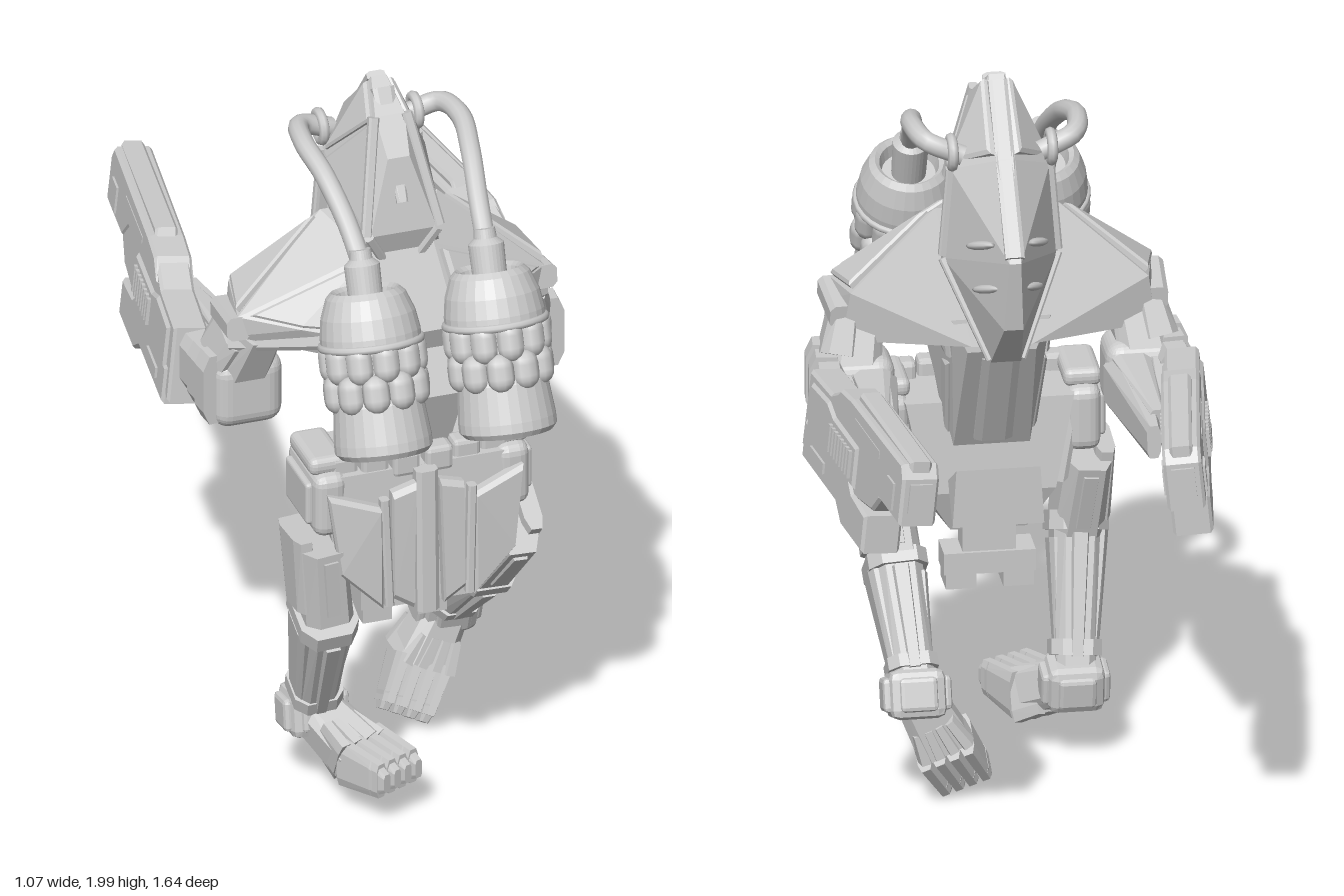
import * as THREE from 'three';
import { ConvexGeometry } from 'three/addons/geometries/ConvexGeometry.js';
import { RoundedBoxGeometry } from 'three/addons/geometries/RoundedBoxGeometry.js';

const flat = new THREE.MeshStandardMaterial({ color: 0xcccccc, flatShading: true });
const smooth = new THREE.MeshStandardMaterial({ color: 0xcccccc });
const vec = (p) => new THREE.Vector3(...p);
const flip = (s, pts) => pts.map(([x, y, z]) => [s * x, y, z]);

function add(parent, name, geo, mat = flat, pos = [0, 0, 0]) {
  const m = new THREE.Mesh(geo, mat);
  m.name = name;
  m.position.set(...pos);
  parent.add(m);
  return m;
}
function group(parent, name) {
  const g = new THREE.Group();
  g.name = name;
  parent.add(g);
  return g;
}
// Faceted solid around points mirrored across x
function hull(parent, name, pts) {
  return add(parent, name, new ConvexGeometry([...pts, ...flip(-1, pts)].map(vec)));
}
// Raised armour panel with sloped edges
function plate(parent, name, corners, t = 0.014) {
  const p = corners.map(vec);
  const c = p.reduce((a, b) => a.add(b), new THREE.Vector3()).divideScalar(p.length);
  const n = p[1].clone().sub(p[0]).cross(p[2].clone().sub(p[0])).normalize();
  const out = [];
  for (const q of corners.map(vec)) {
    const outer = c.clone().lerp(q, 0.96), inner = c.clone().lerp(q, 0.87);
    for (const k of [-1, 1]) {
      out.push(outer.clone().addScaledVector(n, k * t * 0.5), inner.clone().addScaledVector(n, k * t));
    }
  }
  return add(parent, name, new ConvexGeometry(out));
}
// Chamfered bar from a to b, each end given as [half width, half depth]
function limb(parent, name, a, b, ra, rb = ra) {
  const A = vec(a), B = vec(b), dir = B.clone().sub(A).normalize();
  const lat = new THREE.Vector3(1, 0, 0).addScaledVector(dir, -dir.x);
  if (lat.length() < 0.1) lat.set(0, 0, 1);
  lat.normalize();
  const nor = dir.clone().cross(lat);
  const pts = [];
  for (const [o, [w, d]] of [[A, ra], [B, rb]])
    for (const i of [-1, 1]) for (const j of [-1, 1]) for (const [u, v] of [[1, 0.6], [0.6, 1]])
      pts.push(o.clone().addScaledVector(lat, i * u * w).addScaledVector(nor, j * v * d));
  return add(parent, name, new ConvexGeometry(pts));
}
const mix = (a, b, t) => a.map((v, i) => v + (b[i] - v) * t);

function torso(root) {
  const g = group(root, 'torso');
  hull(g, 'hood', [[0.02, 2, 0.17], [0.04, 1.93, 0.26], [0.03, 1.84, 0.33], [0.09, 1.64, 0.37], [0.04, 1.54, 0.34], [0.13, 1.77, 0.1],
    [0.02, 1.83, 0], [0.015, 1.61, -0.17], [0.15, 1.52, 0.1], [0.025, 1.41, -0.14], [0.04, 1.26, 0], [0.15, 1.45, 0.25]]);
  hull(g, 'shoulderYoke', [[0.16, 1.63, 0.17], [0.09, 1.58, 0.35], [0.39, 1.43, 0.11], [0.42, 1.41, 0.27], [0.28, 1.4, 0.37],
    [0.43, 1.35, 0.26], [0.41, 1.29, 0.13], [0.12, 1.38, 0.45], [0.08, 1.28, 0.06], [0.12, 1.3, 0.42]]);
  hull(g, 'waist', [[0.2, 1.37, 0.4], [0.13, 1.35, 0.08], [0.13, 1.2, 0.48], [0.11, 1.03, 0.42], [0.1, 0.92, 0.25], [0.09, 1.26, 0.07]]);
  limb(g, 'hoodRidge', [0, 1.99, 0.15], [0, 1.62, -0.16], [0.025, 0.012]);
  limb(g, 'hoodBrow', [0, 1.98, 0.2], [0, 1.72, 0.355], [0.03, 0.015], [0.015, 0.015]);
  limb(g, 'spineStrip', [0, 1.24, 0.09], [0, 0.95, 0.235], [0.05, 0.018]);
  for (const s of [1, -1]) {
    const P = (name, pts) => plate(g, name, flip(s, pts));
    const bar = (name, a, b, r) => limb(g, name, ...flip(s, [a, b]), [r, r]);
    P('hoodCrownPanel', [[0.025, 1.99, 0.17], [0.045, 1.92, 0.26], [0.125, 1.77, 0.12], [0.03, 1.84, 0.01]]);
    P('hoodCheekPanel', [[0.045, 1.92, 0.26], [0.095, 1.65, 0.36], [0.13, 1.75, 0.12]]);
    bar('hoodFaceTrim', [0.045, 1.93, 0.26], [0.1, 1.64, 0.36], 0.014);
    bar('hoodChinTrim', [0.095, 1.64, 0.37], [0.04, 1.54, 0.34], 0.012);
    bar('hoodSideTrim', [0.13, 1.77, 0.1], [0.15, 1.53, 0.1], 0.012);
    bar('hoodJawTrim', [0.15, 1.52, 0.1], [0.04, 1.27, 0], 0.012);
    P('shoulderTopPanel', [[0.17, 1.62, 0.18], [0.39, 1.44, 0.12], [0.42, 1.42, 0.26]]);
    P('shoulderFrontPanel', [[0.1, 1.57, 0.36], [0.4, 1.42, 0.29], [0.28, 1.405, 0.37], [0.13, 1.4, 0.44]]);
    bar('shoulderRim', [0.41, 1.36, 0.12], [0.42, 1.38, 0.28], 0.032);
    bar('collarTrim', [0.12, 1.39, 0.44], [0.42, 1.32, 0.22], 0.03);
    P('abdomenPanel', [[0.13, 1.35, 0.12], [0.17, 1.34, 0.4], [0.13, 1.19, 0.46], [0.12, 1.22, 0.13]]);
    P('waistPanel', [[0.12, 1.2, 0.15], [0.13, 1.18, 0.46], [0.11, 1.04, 0.41], [0.105, 0.95, 0.26]]);
    for (let i = 0; i < 2; i++) {
      const gill = add(g, 'gill', new THREE.SphereGeometry(1, 10, 6), smooth, [s * (0.075 - i * 0.015), 1.62 - i * 0.12, -0.06 - i * 0.01]);
      gill.scale.set(0.02, 0.012, 0.06);
      gill.rotation.set(0.4, s * 0.5, 0);
    }
  }
}

function pelvis(root) {
  const g = group(root, 'pelvis');
  hull(g, 'hips', [[0.25, 1.03, 0.52], [0.22, 1.03, 0.28], [0.13, 0.64, 0.55], [0.1, 0.66, 0.3], [0.21, 0.8, 0.54], [0.17, 0.78, 0.26]]);
  limb(g, 'centreSkirt', [0, 1.03, 0.54], [0, 0.62, 0.55], [0.03, 0.025]);
  add(g, 'crotchBracket', new THREE.BoxGeometry(0.24, 0.06, 0.1), flat, [0, 0.57, 0.33]);
  add(g, 'crotchMount', new THREE.BoxGeometry(0.14, 0.12, 0.08), flat, [0, 0.63, 0.33]);
  hull(g, 'tailPlate', [[0.11, 0.9, 0.13], [0.12, 0.74, 0.13], [0.09, 0.71, 0.2], [0.12, 0.84, 0.21], [0.08, 0.71, 0.28], [0.08, 0.82, 0.3]]);
  for (const s of [1, -1]) {
    const P = (name, pts) => plate(g, name, flip(s, pts), 0.022);
    add(g, 'crotchFoot', new THREE.BoxGeometry(0.08, 0.06, 0.1), flat, [s * 0.075, 0.53, 0.33]);
    P('innerSkirtPanel', [[0.03, 1.01, 0.55], [0.1, 0.99, 0.55], [0.1, 0.67, 0.56], [0.04, 0.63, 0.56]]);
    P('outerSkirtPanel', [[0.12, 0.95, 0.555], [0.27, 1, 0.53], [0.24, 0.76, 0.55], [0.12, 0.64, 0.56]]);
    P('hipSidePanel', [[0.25, 1, 0.5], [0.22, 1, 0.3], [0.18, 0.78, 0.28], [0.21, 0.78, 0.52]]);
    limb(g, 'skirtTrim', ...flip(s, [[0.12, 0.97, 0.56], [0.11, 0.66, 0.57]]), [0.012, 0.015]);
    for (let i = 0; i < 3; i++) add(g, 'beltBlock', new RoundedBoxGeometry(0.075, 0.07, 0.06, 1, 0.012), flat, [s * (0.045 + i * 0.08), 1.04, 0.5 - i * 0.015]);
    add(g, 'hipPouch', new RoundedBoxGeometry(0.09, 0.18, 0.24, 2, 0.03), flat, [s * 0.25, 0.95, 0.41]);
    add(g, 'pouchCover', new RoundedBoxGeometry(0.03, 0.12, 0.17, 2, 0.01), flat, [s * 0.295, 0.95, 0.41]);
    add(g, 'pouchFlap', new RoundedBoxGeometry(0.1, 0.05, 0.18, 2, 0.02), flat, [s * 0.25, 1.055, 0.41]);
  }
}

function tank(root, s) {
  const g = group(root, 'backTank');
  g.position.set(s * 0.17, 1.4, 0.63);
  g.rotation.x = -0.37;
  const profile = [[0, -0.205], [0.1, -0.21], [0.115, -0.22], [0.128, -0.205], [0.128, -0.18], [0.118, -0.08], [0.11, -0.06],
    [0.11, 0.06], [0.132, 0.075], [0.132, 0.1], [0.124, 0.15], [0.105, 0.2], [0.09, 0.215], [0.078, 0.205], [0.07, 0.17], [0.045, 0.17],
    [0.047, 0.28], [0.03, 0.295], [0.028, 0.32], [0, 0.32]];
  add(g, 'tankShell', new THREE.LatheGeometry(profile.map((p) => new THREE.Vector2(...p)), 28), flat);
  for (let i = 0; i < 10; i++) {
    const a = (i / 10) * Math.PI * 2;
    for (const [y, len, off] of [[0.035, 0.035, 0], [-0.045, 0.03, 0.31]]) {
      const pad = add(g, 'tankPad', new THREE.CapsuleGeometry(0.036, len, 4, 10), smooth, [0.112 * Math.sin(a + off), y, 0.112 * Math.cos(a + off)]);
      pad.rotation.y = a + off;
      pad.scale.z = 0.85;
    }
  }
  add(g, 'tankBand', new THREE.TorusGeometry(0.13, 0.011, 8, 28), smooth, [0, 0.075, 0]).rotation.x = Math.PI / 2;
  // Hose from the tank neck to a socket on the hood
  const path = flip(s, [[0.17, 1.66, 0.53], [0.18, 1.74, 0.44], [0.2, 1.82, 0.32], [0.215, 1.855, 0.2], [0.19, 1.85, 0.1], [0.1, 1.815, 0.08]]);
  add(root, 'hose', new THREE.TubeGeometry(new THREE.CatmullRomCurve3(path.map(vec)), 32, 0.027, 12), smooth);
  add(root, 'hoseSocket', new THREE.TorusGeometry(0.037, 0.014, 8, 20), smooth, [s * 0.13, 1.825, 0.083]).rotation.y = Math.PI / 2;
}

// Extrudes a side outline given as [forward, height] and centres it on x
function profilePart(parent, name, pts, width) {
  const shape = new THREE.Shape(pts.map(([u, v]) => new THREE.Vector2(u, v - 1.15)));
  const geo = new THREE.ExtrudeGeometry(shape, { depth: width - 0.016, bevelSize: 0.008, bevelThickness: 0.008, bevelSegments: 1 });
  geo.translate(0, 0, -(width - 0.016) / 2);
  return add(parent, name, geo.rotateY(Math.PI / 2));
}

function gun(root, s) {
  const g = group(root, 'gun');
  g.position.set(s * 0.47, 1.15, 0);
  g.rotation.set(0, s * 0.14, s * 0.1);
  profilePart(g, 'gunBody', [[-0.03, 1.05], [-0.02, 1.25], [0.16, 1.26], [0.24, 1.3], [0.34, 1.31], [0.62, 1.3], [0.62, 1.17], [0.57, 1.12], [0.45, 1.1], [0.1, 1.08]], 0.09);
  profilePart(g, 'barrel', [[0.2, 1.27], [0.25, 1.31], [0.34, 1.32], [0.79, 1.33], [0.81, 1.3], [0.81, 1.18], [0.62, 1.18], [0.56, 1.24]], 0.1);
  profilePart(g, 'topRail', [[0.33, 1.31], [0.35, 1.34], [0.8, 1.34], [0.8, 1.31]], 0.06);
  profilePart(g, 'lowerBarrel', [[0, 1.03], [0, 1.12], [0.38, 1.12], [0.42, 1.09], [0.54, 1.08], [0.54, 0.99], [0.36, 0.99], [0.3, 1.03]], 0.105);
  profilePart(g, 'sidePanel', [[0.02, 1.12], [0.02, 1.23], [0.16, 1.24], [0.22, 1.22], [0.42, 1.22], [0.42, 1.12]], 0.108);
  for (const k of [1, -1]) {
    for (let i = 0; i < 8; i++) add(g, 'ventSlat', new THREE.BoxGeometry(0.012, 0.075, 0.012), flat, [k * 0.057, 0.02, -0.22 - i * 0.025]);
    add(g, 'muzzlePanel', new THREE.BoxGeometry(0.012, 0.075, 0.06), flat, [k * 0.05, 0.08, -0.73]);
    add(g, 'bodyInset', new THREE.BoxGeometry(0.012, 0.03, 0.12), flat, [k * 0.053, -0.08, -0.13]);
    add(g, 'sightStrip', new THREE.BoxGeometry(0.012, 0.02, 0.22), flat, [k * 0.046, 0.135, -0.5]);
  }
  add(g, 'muzzle', new THREE.BoxGeometry(0.06, 0.08, 0.03), flat, [0, 0.1, -0.81]);
}

function arm(root, s) {
  const g = group(root, 'arm');
  const L = (name, a, b, ra, rb) => limb(g, name, ...flip(s, [a, b]), ra, rb);
  L('upperArm', [0.35, 1.36, 0.22], [0.38, 1.2, 0.15], [0.06, 0.08], [0.07, 0.08]);
  L('upperArmGuard', [0.4, 1.33, 0.19], [0.42, 1.24, 0.15], [0.04, 0.075], [0.05, 0.07]);
  add(g, 'elbowPad', new RoundedBoxGeometry(0.19, 0.2, 0.17, 3, 0.045), flat, [s * 0.37, 1.15, 0.15]);
  for (let i = 0; i < 3; i++) L('elbowSegment', [0.45, 1.17, 0.21 - i * 0.06], [0.455, 1.17, 0.155 - i * 0.06], [0.045, 0.1 - i * 0.01]);
  L('forearm', [0.33, 1.14, 0.1], [0.34, 1.15, -0.32], [0.06, 0.08], [0.018, 0.045]);
  L('forearmGuard', [0.34, 1.2, 0.08], [0.36, 1.185, -0.25], [0.05, 0.03], [0.02, 0.025]);
  L('outerForearm', [0.42, 1.14, 0.08], [0.4, 1.14, -0.16], [0.04, 0.08], [0.035, 0.05]);
  L('hand', [0.35, 1.12, -0.14], [0.44, 1.12, -0.14], [0.06, 0.045]);
}

// One leg through hip, knee, ankle and toe points
function leg(root, name, [hip, knee, ankle, ball, toe], turn, footDepth) {
  const g = group(root, name);
  const s = Math.sign(hip[0]);
  const out = (p, d) => [p[0] + s * d, p[1], p[2]];
  limb(g, 'thigh', hip, knee, [0.06, 0.14], [0.065, 0.1]);
  limb(g, 'shin', knee, ankle, [0.065, 0.095], [0.05, 0.055]);
  limb(g, 'thighGuard', out(mix(hip, knee, -0.1), 0.045), out(mix(hip, knee, 0.85), 0.05), [0.025, 0.09], [0.03, 0.07]);
  limb(g, 'shinGuard', out(mix(knee, ankle, 0.05), 0.05), out(mix(knee, ankle, 0.8), 0.035), [0.03, 0.07], [0.025, 0.045]);
  limb(g, 'innerShinGuard', out(mix(knee, ankle, 0.1), -0.05), out(mix(knee, ankle, 0.8), -0.035), [0.025, 0.065], [0.02, 0.035]);
  limb(g, 'shinRidge', mix(knee, ankle, 0.08), mix(knee, ankle, 0.85), [0.03, 0.108], [0.022, 0.07]);
  limb(g, 'thighRidge', mix(hip, knee, 0.1), mix(hip, knee, 0.85), [0.03, 0.145], [0.03, 0.112]);
  limb(g, 'kneeBand', mix(knee, ankle, -0.06), mix(knee, ankle, 0.06), [0.078, 0.105]);
  limb(g, 'ankleCuff', mix(knee, ankle, 0.74), mix(knee, ankle, 0.84), [0.066, 0.07]);
  const joint = group(g, 'ankle');
  joint.position.set(...ankle);
  joint.rotation.x = turn;
  add(joint, 'ankleBlock', new RoundedBoxGeometry(0.15, 0.13, 0.13, 1, 0.025));
  for (const k of [1, -1]) {
    add(joint, 'ankleCap', new RoundedBoxGeometry(0.03, 0.09, 0.09, 1, 0.012), flat, [k * 0.075, 0, 0]);
    add(joint, 'ankleFacePlate', new RoundedBoxGeometry(0.1, 0.09, 0.03, 1, 0.012), flat, [0, 0, k * 0.06]);
  }
  limb(g, 'foot', ankle, ball, [0.06, 0.06], [0.075, footDepth]);
  // Toes fan out sideways from the ball of the foot
  const dir = vec(toe).sub(vec(ball)).normalize();
  const lat = new THREE.Vector3(1, 0, 0).addScaledVector(dir, -dir.x).normalize();
  for (let i = -1.5; i <= 1.5; i++) {
    const shift = (p, d) => vec(p).addScaledVector(lat, d).toArray();
    const a = shift(mix(ankle, ball, 0.5), i * 0.03), b = shift(ball, i * 0.04), c = shift(toe, i * 0.038);
    limb(g, 'toeRidge', a, b, [0.016, footDepth], [0.02, footDepth + 0.008]);
    limb(g, 'toe', b, c, [0.02, footDepth], [0.017, footDepth * 0.75]);
    limb(g, 'toeTip', mix(b, c, 0.8), mix(b, c, 1.15), [0.019, footDepth * 0.8], [0.012, footDepth * 0.4]);
  }
}

export function createModel() {
  const root = new THREE.Group();
  root.name = 'armouredWalker';
  torso(root);
  pelvis(root);
  for (const s of [1, -1]) {
    tank(root, s);
    arm(root, s);
    gun(root, s);
  }
  leg(root, 'leftLeg', [[0.27, 0.8, 0.42], [0.25, 0.58, 0.27], [0.23, 0.32, 0.04], [0.155, 0.17, 0.05], [0.095, 0.06, 0.1]], 0.35, 0.07);
  leg(root, 'rightLeg', [[-0.27, 0.82, 0.43], [-0.25, 0.6, 0.45], [-0.22, 0.22, 0.28], [-0.14, 0.14, 0.42], [-0.08, 0.14, 0.55]], -0.15, 0.065);
  return root;
}
